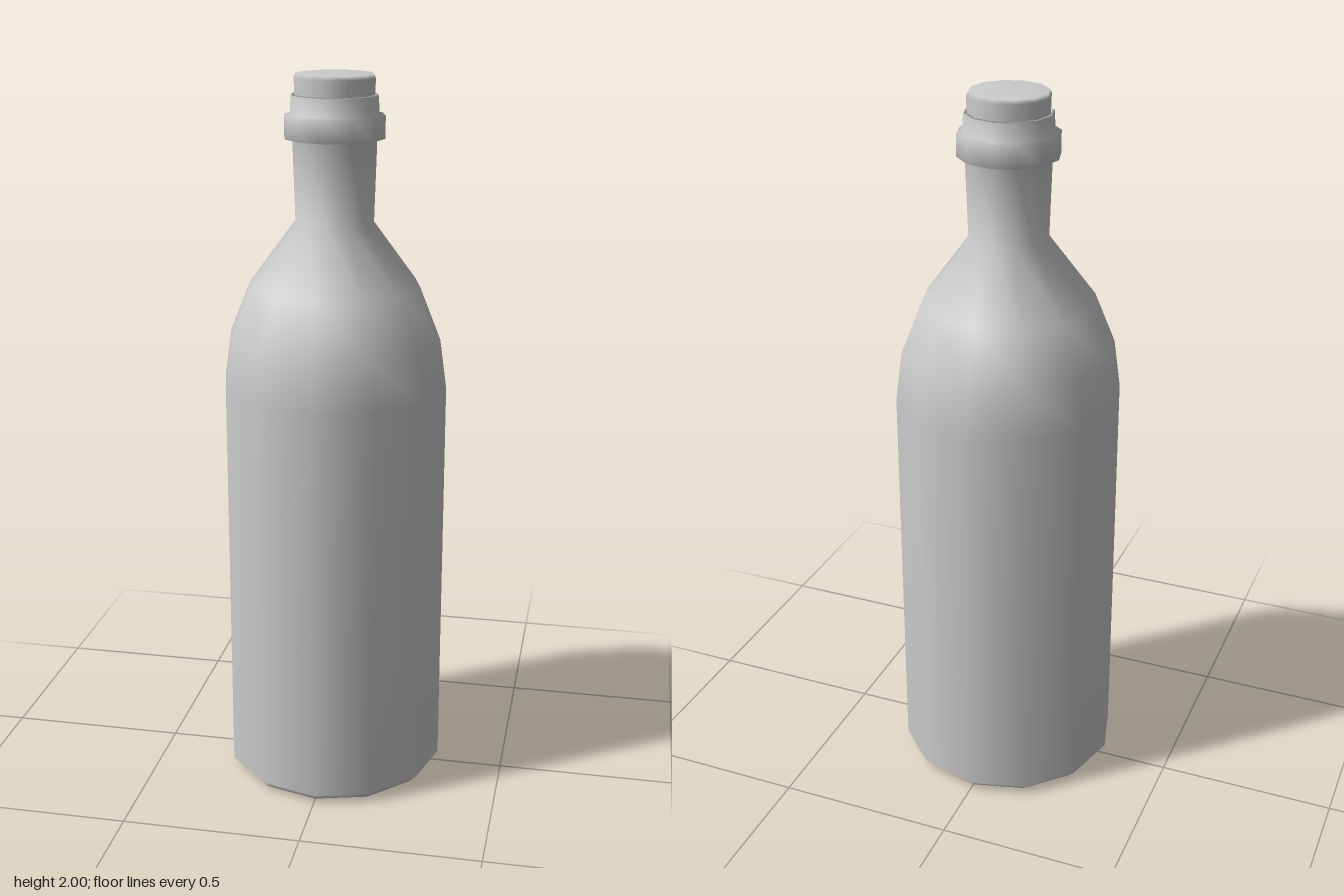
import * as THREE from 'three';

const SIDES = 12;

export function createModel() {
  const bottle = new THREE.Group();
  bottle.name = 'bottle';
  const material = new THREE.MeshStandardMaterial({ color: 0xcccccc });

  // Turn a [radius, height] profile, listed from the bottom centre upwards
  const turn = (name, profile) => {
    const points = profile.map(([r, y]) => new THREE.Vector2(r, y));
    const mesh = new THREE.Mesh(new THREE.LatheGeometry(points, SIDES), material);
    mesh.name = name;
    bottle.add(mesh);
  };

  // Glass: hollowed base, straight body, shoulder, neck, collar and lip
  turn('glassBody', [
    [0, 0.04], [0.1, 0.033], [0.2, 0.012], [0.265, 0], [0.287, 0.003], [0.313, 0.03],
    [0.313, 1.158], [0.294, 1.295], [0.237, 1.437], [0.108, 1.61],
    [0.115, 1.83], [0.137, 1.833], [0.137, 1.893], [0.121, 1.897],
    [0.118, 1.945], [0.112, 1.947], [0.108, 1.925],
  ]);

  // Stopper seated in the lip, with a slightly eased top edge
  turn('stopper', [
    [0.107, 1.9], [0.11, 1.99], [0.105, 2], [0, 2],
  ]);

  return bottle;
}
